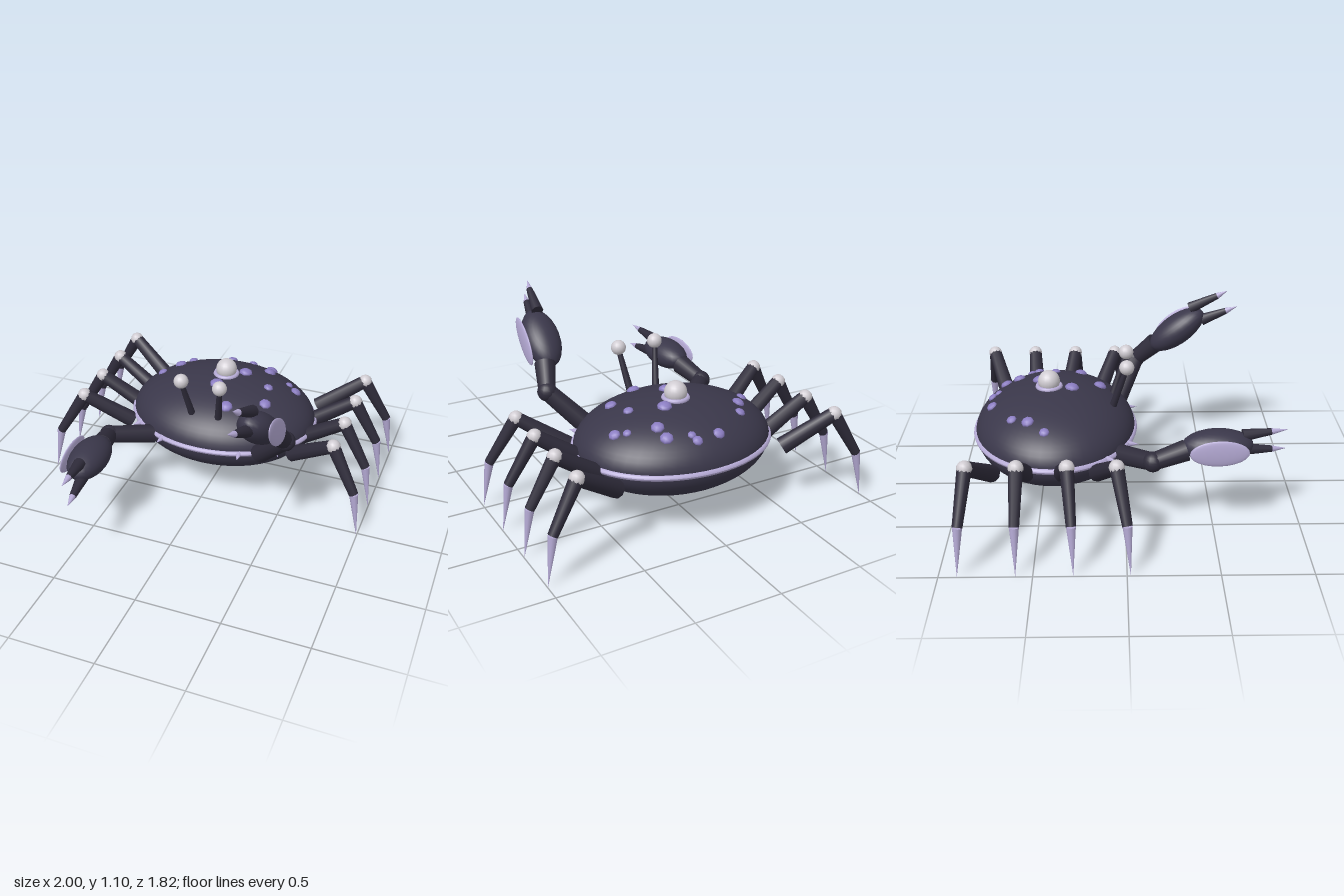
import * as THREE from 'three';

const mat = (name, color) => {
  const m = new THREE.MeshStandardMaterial({ color });
  m.name = name;
  return m;
};
const V = (a) => new THREE.Vector3(...a);

export function createModel() {
  const shell = mat('dark shell', 0x3a374a);
  const limb = mat('dark limb', 0x2f2c3b);
  const lavender = mat('lavender', 0xb6abd6);
  const purple = mat('purple bump', 0x8b7dc2);
  const pearl = mat('pearl', 0xd0ccd2);
  const model = new THREE.Group();
  model.name = 'crab';

  const group = (name) => {
    const g = new THREE.Group();
    g.name = name;
    model.add(g);
    return g;
  };
  const add = (parent, name, geometry, material) => {
    const m = new THREE.Mesh(geometry, material);
    m.name = name;
    parent.add(m);
    return m;
  };
  const ball = (parent, name, p, r, material, ws = 16, hs = 12) => {
    const m = add(parent, name, new THREE.SphereGeometry(r, ws, hs), material);
    m.position.set(...p);
    return m;
  };
  // Tapered rod between two points
  const rod = (parent, name, a, b, ra, rb, material, sides = 10) => {
    const A = V(a), d = V(b).sub(A);
    const m = add(parent, name, new THREE.CylinderGeometry(rb, ra, d.length(), sides), material);
    m.position.copy(A).addScaledVector(d, 0.5);
    m.quaternion.setFromUnitVectors(new THREE.Vector3(0, 1, 0), d.normalize());
    return m;
  };

  // Body
  const C = [0, 0.408, -0.412], R = [0.583, 0.26, 0.475];
  const body = ball(model, 'bodyShell', C, 1, shell, 48, 32);
  body.scale.set(...R);

  // Rim around the widest part of the shell
  const rimGeo = new THREE.TorusGeometry(1, 0.018, 10, 64).rotateX(Math.PI / 2);
  const pos = rimGeo.attributes.position;
  for (let i = 0; i < pos.count; i++) {
    const x = pos.getX(i), z = pos.getZ(i), r = Math.hypot(x, z);
    pos.setX(i, (x / r) * (R[0] + r - 1.005));
    pos.setZ(i, (z / r) * (R[2] + r - 1.005));
  }
  rimGeo.computeVertexNormals();
  add(model, 'shellRim', rimGeo, lavender).position.set(...C);

  // Spikes along the front of the rim
  const spikes = group('rimSpikes');
  for (const s of [-1, 1]) {
    rod(spikes, 'rimSpike', [s * 0.245, 0.408, 0.005], [s * 0.258, 0.408, 0.08], 0.024, 0, lavender, 8);
    rod(spikes, 'rimSpike', [s * 0.435, 0.408, -0.11], [s * 0.475, 0.408, -0.04], 0.024, 0, lavender, 8);
  }

  // Pearl on top with its collar
  ball(model, 'topPearl', [0, 0.7, -0.445], 0.065, pearl, 20, 14);
  const collar = add(model, 'pearlCollar', new THREE.TorusGeometry(0.067, 0.014, 8, 28), lavender);
  collar.rotation.x = Math.PI / 2;
  collar.position.set(0, 0.667, -0.445);

  // Bumps scattered over the shell: x, z, radius
  const bumps = group('shellBumps');
  [[-0.075, -0.78, 0.034], [0.065, -0.79, 0.03], [0.08, -0.755, 0.024], [0.215, -0.72, 0.038],
    [0.225, -0.64, 0.038], [0.375, -0.575, 0.024], [0.43, -0.535, 0.034], [0.285, -0.42, 0.03],
    [0.315, -0.265, 0.037], [0.107, -0.508, 0.043], [-0.015, -0.31, 0.043], [0.107, -0.145, 0.04],
    [-0.3, -0.645, 0.03], [-0.35, -0.55, 0.037], [-0.437, -0.453, 0.03],
  ].forEach(([x, z, r]) => {
    const u = x / R[0], w = (z - C[2]) / R[2];
    const v = Math.sqrt(Math.max(0, 1 - u * u - w * w));
    const b = ball(bumps, 'shellBump', [x, C[1] + R[1] * v, z], r, purple, 8, 6);
    b.scale.y = 0.6;
    const n = new THREE.Vector3(u / R[0], v / R[1], w / R[2]).normalize();
    b.quaternion.setFromUnitVectors(new THREE.Vector3(0, 1, 0), n);
  });

  // Eyes on stalks
  for (const s of [-1, 1]) {
    const eye = group(s > 0 ? 'leftEye' : 'rightEye');
    rod(eye, 'eyeStalk', [s * 0.084, 0.57, -0.07], [s * 0.12, 0.82, 0.01], 0.022, 0.015, limb);
    ball(eye, 'eyeball', [s * 0.12, 0.832, 0.012], 0.044, pearl);
  }

  // Four walking legs per side: z of hip, knee, ankle and tip
  const legs = [[-0.16, -0.052, 0.002, 0.02], [-0.36, -0.315, -0.293, -0.285],
    [-0.555, -0.582, -0.59, -0.592], [-0.745, -0.85, -0.885, -0.9]];
  for (const s of [-1, 1]) {
    legs.forEach(([hip, knee, ankle, tip], i) => {
      const leg = group((s > 0 ? 'leftLeg' : 'rightLeg') + (i + 1));
      const K = [s * 0.8, 0.555, knee], A = [s * 0.955, 0.29, ankle];
      rod(leg, 'upperLeg', [s * 0.525, 0.37, hip], K, 0.05, 0.04, limb);
      ball(leg, 'knee', K, 0.043, pearl, 12, 8);
      rod(leg, 'lowerLeg', K, A, 0.04, 0.028, limb);
      rod(leg, 'legTip', A, [s * 0.998, 0.01, tip], 0.027, 0, lavender);
    });
  }

  // Claw: jointed arm, oval palm with a side plate, two pincer fingers
  const claw = (name, s, { shoulder, elbow, wrist, palm, dir, fingers }) => {
    const g = group(name);
    rod(g, 'upperArm', shoulder, elbow, 0.06, 0.052, limb, 12);
    ball(g, 'elbow', elbow, 0.058, limb);
    rod(g, 'forearm', elbow, wrist, 0.05, 0.062, limb, 12);
    const hand = new THREE.Group();
    hand.name = 'hand';
    const z = V(dir).normalize();
    const x = new THREE.Vector3(0, 1, 0).cross(z).normalize();
    hand.quaternion.setFromRotationMatrix(new THREE.Matrix4().makeBasis(x, z.clone().cross(x), z));
    hand.position.set(...palm);
    g.add(hand);
    ball(hand, 'palm', [0, 0, 0], 1, shell, 24, 16).scale.set(0.11, 0.09, 0.2);
    ball(hand, 'palmPlate', [s * 0.108, 0, 0], 1, lavender, 24, 12).scale.set(0.014, 0.077, 0.165);
    fingers.forEach(([base, mid, tip]) => {
      rod(g, 'finger', base, mid, 0.036, 0.019, limb);
      rod(g, 'fingerTip', mid, tip, 0.019, 0, lavender);
    });
  };
  claw('rightClaw', -1, {
    shoulder: [-0.33, 0.385, -0.04], elbow: [-0.54, 0.445, 0.15], wrist: [-0.5, 0.495, 0.335],
    palm: [-0.487, 0.52, 0.51], dir: [0.03, 0.01, 1],
    fingers: [
      [[-0.475, 0.573, 0.65], [-0.46, 0.588, 0.81], [-0.452, 0.596, 0.905]],
      [[-0.465, 0.482, 0.65], [-0.44, 0.47, 0.82], [-0.428, 0.467, 0.905]],
    ],
  });
  claw('leftClaw', 1, {
    shoulder: [0.36, 0.41, -0.04], elbow: [0.55, 0.615, 0.08], wrist: [0.505, 0.74, 0.205],
    palm: [0.465, 0.843, 0.337], dir: [-0.04, 0.61, 0.79],
    fingers: [
      [[0.452, 0.99, 0.415], [0.43, 1.075, 0.58], [0.418, 1.112, 0.64]],
      [[0.452, 0.912, 0.49], [0.43, 0.978, 0.637], [0.415, 1.012, 0.705]],
    ],
  });
  return model;
}
